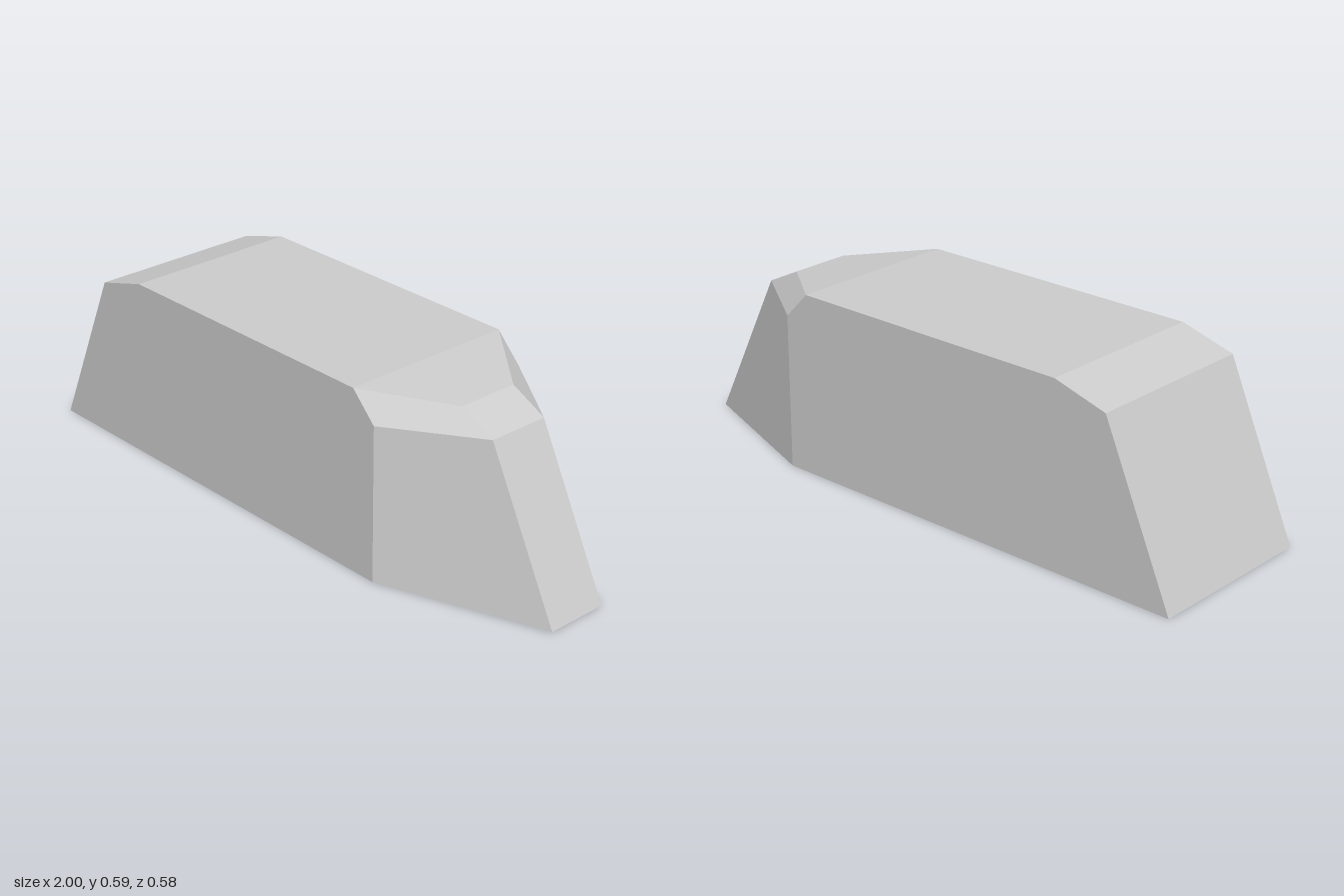
import * as THREE from 'three';

export function createModel() {
  const group = new THREE.Group();
  const grey = new THREE.MeshStandardMaterial({ color: 0xcccccc });
  grey.name = 'plain grey';

  // Corner points of one half (z > 0); the other half is mirrored
  const W = 0.29, N = 0.102;
  const P = {
    tailFoot: [-1, 0, W], tailTop: [-0.765, 0.538, W], roofBack: [-0.585, 0.59, W],
    roofFront: [0.39, 0.59, W], shoulder: [0.475, 0.503, W], bend: [0.475, 0, W],
    noseFoot: [1, 0, N], noseTop: [0.75, 0.5, N], hoodFront: [0.63, 0.559, N],
  };
  const pt = (name, side) => new THREE.Vector3(P[name][0], P[name][1], P[name][2] * side);
  const middle = new THREE.Vector3(0, 0.3, 0);

  // One flat-shaded mesh from a list of outlines, each turned to face outward
  function addPart(name, outlines) {
    const pos = [], nor = [];
    for (const outline of outlines) {
      const n = new THREE.Vector3(), c = new THREE.Vector3();
      outline.forEach((p, i) => {
        n.add(new THREE.Vector3().crossVectors(p, outline[(i + 1) % outline.length]));
        c.addScaledVector(p, 1 / outline.length);
      });
      n.normalize();
      const flip = n.dot(c.sub(middle)) < 0;
      if (flip) n.negate();
      for (let i = 1; i < outline.length - 1; i++) {
        const tri = [outline[0], outline[i], outline[i + 1]];
        if (flip) tri.reverse();
        for (const p of tri) { pos.push(...p.toArray()); nor.push(...n.toArray()); }
      }
    }
    const geo = new THREE.BufferGeometry();
    geo.setAttribute('position', new THREE.Float32BufferAttribute(pos, 3));
    geo.setAttribute('normal', new THREE.Float32BufferAttribute(nor, 3));
    const mesh = new THREE.Mesh(geo, grey);
    mesh.name = name;
    group.add(mesh);
  }

  // Full-width panels spanning between the two sides
  const span = (a, b) => [pt(a, 1), pt(b, 1), pt(b, -1), pt(a, -1)];
  addPart('tailPanel', [span('tailFoot', 'tailTop')]);
  addPart('roof', [span('tailTop', 'roofBack'), span('roofBack', 'roofFront'), span('roofFront', 'hoodFront')]);
  addPart('nosePanel', [span('hoodFront', 'noseTop'), span('noseTop', 'noseFoot')]);
  addPart('underside', [span('tailFoot', 'bend'), span('bend', 'noseFoot')]);

  // Side walls, tapered cheeks and corner bevels, mirrored
  for (const [side, label] of [[1, 'front'], [-1, 'back']]) {
    const face = (...names) => names.map((n) => pt(n, side));
    addPart(label + 'SideWall', [face('tailFoot', 'bend', 'shoulder', 'roofFront', 'roofBack', 'tailTop')]);
    addPart(label + 'Cheek', [face('shoulder', 'bend', 'noseFoot', 'noseTop')]);
    addPart(label + 'Bevel', [face('roofFront', 'shoulder', 'noseTop', 'hoodFront')]);
  }
  return group;
}
